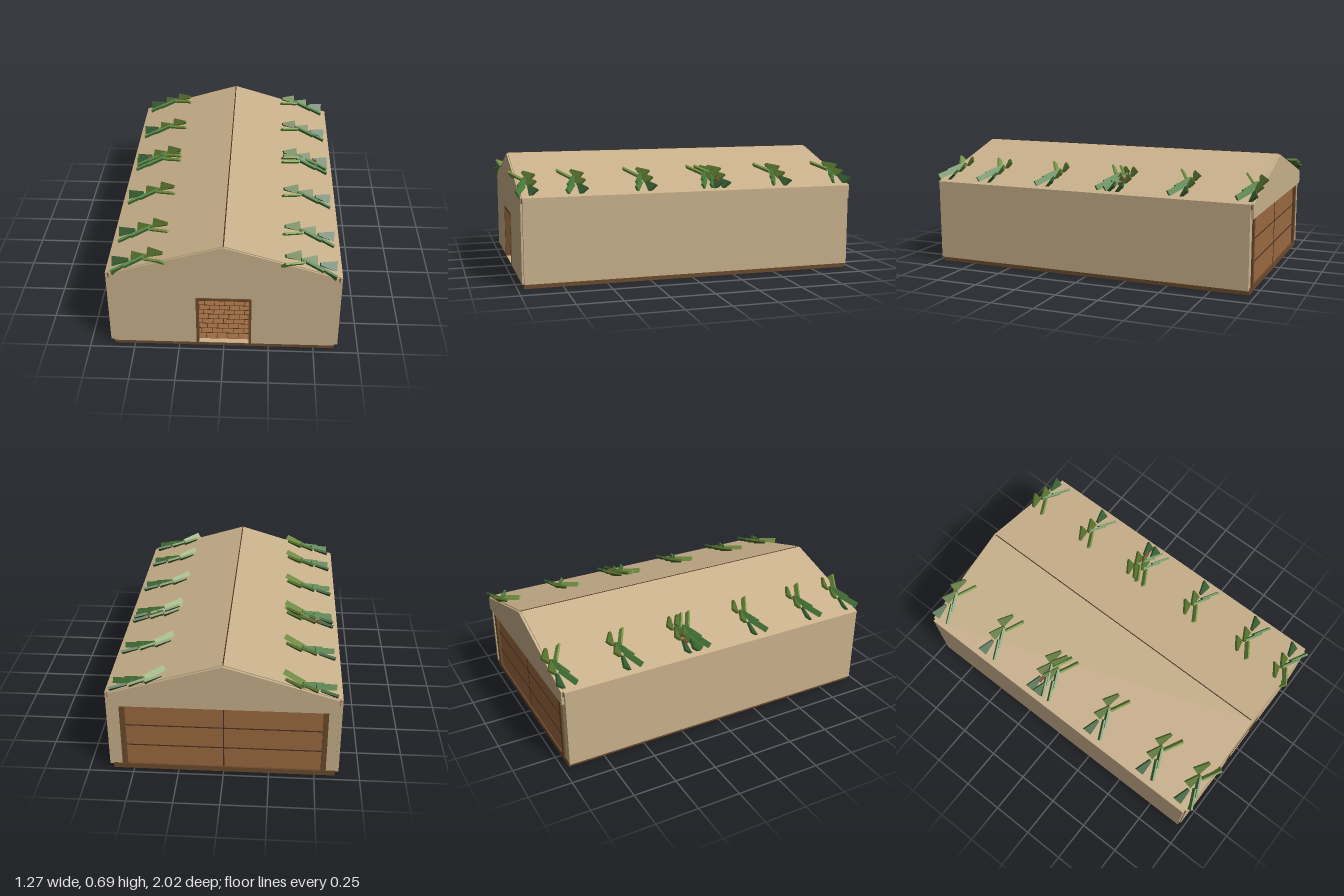
import * as THREE from 'three';
import { mergeGeometries } from 'three/addons/utils/BufferGeometryUtils.js';

const mat = (name, color) => {
  const m = new THREE.MeshStandardMaterial({ color });
  m.name = name;
  return m;
};

export function createModel() {
  const root = new THREE.Group();
  root.name = 'hall';

  const sand = mat('sandstone', 0xc9b18b);
  const brown = mat('dark timber', 0x6b4a2c);
  const wood = mat('warm wood', 0x9c6a40);
  const seam = mat('seam', 0x4a3020);
  const dark = mat('dark leaf', 0x365c30);
  const mid = mat('mid leaf', 0x4a7d3c);
  const light = mat('light leaf', 0x7a9a46);
  const olive = mat('olive leaf', 0x55702c);
  const red = mat('blossom', 0x8a4a34);

  const add = (name, geo, m, parent = root) => {
    const mesh = new THREE.Mesh(geo, m);
    mesh.name = name;
    parent.add(mesh);
    return mesh;
  };
  // Box given by its two opposite corners
  const span = (x0, x1, y0, y1, z0, z1) =>
    new THREE.BoxGeometry(x1 - x0, y1 - y0, z1 - z0)
      .translate((x0 + x1) / 2, (y0 + y1) / 2, (z0 + z1) / 2);
  const outline = (pts) => new THREE.Shape(pts.map(([x, y]) => new THREE.Vector2(x, y)));
  const slab = (shape, z0, z1) =>
    new THREE.ExtrudeGeometry(shape, { depth: z1 - z0, bevelEnabled: false }).translate(0, 0, z0);

  // Plinth and tiled floor
  add('plinth', span(-0.615, 0.615, 0, 0.03, -0.965, 0.965), brown);
  add('floorTiles', span(-0.61, 0.61, 0.03, 0.033, -0.945, 0.945), wood);
  const joints = [];
  for (let i = 0; i < 47; i++) {
    const z = -0.94 + i * 0.04;
    joints.push(span(-0.61, 0.61, 0.033, 0.034, z - 0.002, z + 0.002));
    for (let x = -0.58 + (i % 2) * 0.03; x < 0.6; x += 0.06)
      joints.push(span(x - 0.002, x + 0.002, 0.033, 0.034, z, z + 0.04));
  }
  add('floorJoints', mergeGeometries(joints), seam);

  // Side walls and eaves beams
  for (const s of [-1, 1]) {
    const a = Math.min(s * 0.615, s * 0.635), b = Math.max(s * 0.615, s * 0.635);
    add('sideWall', span(a, b, 0.028, 0.5, -0.965, 0.965), sand);
    const c = Math.min(s * 0.614, s * 0.622), d = Math.max(s * 0.614, s * 0.622);
    add('eavesBeam', span(c, d, 0.47, 0.497, -0.972, 0.972), brown);
  }

  // Front gable with doorway
  const front = outline([[-0.615, 0.028], [0.615, 0.028], [0.615, 0.5], [0, 0.684], [-0.615, 0.5]]);
  front.holes.push(new THREE.Path([
    [-0.14, 0.031], [-0.14, 0.335], [0.14, 0.335], [0.14, 0.031],
  ].map(([x, y]) => new THREE.Vector2(x, y))));
  add('frontWall', slab(front, 0.945, 0.975), sand);
  const frame = outline([[-0.152, 0.028], [-0.138, 0.028], [-0.138, 0.333], [0.138, 0.333],
    [0.138, 0.028], [0.152, 0.028], [0.152, 0.347], [-0.152, 0.347]]);
  add('doorFrame', slab(frame, 0.94, 0.98), brown);

  // Back gable, jambs and panelled gate
  add('backGable', slab(outline([[-0.617, 0.42], [0.617, 0.42], [0.617, 0.5], [0, 0.684], [-0.617, 0.5]]),
    -0.98, -0.955), sand);
  for (const s of [-1, 1]) {
    add('backJamb', new THREE.BoxGeometry(0.07, 0.4, 0.02), sand).position.set(s * 0.582, 0.225, -0.95);
    add('gatePost', new THREE.BoxGeometry(0.028, 0.39, 0.035), brown).position.set(s * 0.55, 0.225, -0.953);
  }
  add('gate', span(-0.55, 0.55, 0.03, 0.425, -0.955, -0.94), wood);
  for (const y of [0.155, 0.285])
    add('gateSeam', span(-0.54, 0.54, y - 0.003, y + 0.003, -0.957, -0.938), seam);
  add('gateCentreSeam', span(-0.003, 0.003, 0.03, 0.42, -0.957, -0.938), seam);

  // Pitched roof with a fine ridge line
  add('roof', slab(outline([[0.635, 0.5], [0, 0.69], [-0.635, 0.5], [-0.635, 0.488], [0, 0.676], [0.635, 0.488]]),
    -0.967, 0.967), sand);
  add('ridgeLine', span(-0.003, 0.003, 0.684, 0.6905, -0.967, 0.967), seam);

  // Foliage breaking through the roof slope
  const blade = new THREE.BoxGeometry(0.125, 0.012, 0.05);
  const fan = new THREE.ExtrudeGeometry(
    outline([[-0.05, -0.008], [0.045, -0.03], [0.045, 0.03], [-0.05, 0.008]]),
    { depth: 0.014, bevelEnabled: false }).translate(0, 0, -0.007).rotateX(-Math.PI / 2);
  // geometry, colour, x, y, z, roll, yaw
  const leaves = [
    [blade, light, 0.368, 0.582, 0.03, -1.0, 0.5],
    [blade, mid, 0.475, 0.552, 0.005, -1.0, -0.42],
    [blade, mid, 0.545, 0.53, 0.025, -1.0, -0.42],
    [fan, olive, 0.372, 0.592, -0.032, 0.7, 0.4],
    [fan, olive, 0.458, 0.566, -0.03, 0.7, 0.3],
    [fan, dark, 0.562, 0.535, -0.03, 0.7, 0.15],
  ];
  const cluster = (z) => {
    const g = new THREE.Group();
    g.name = 'leafCluster';
    for (const [geo, m, x, y, dz, roll, yaw] of leaves) {
      const leaf = add('leaf', geo, m, g);
      leaf.position.set(x, y, dz);
      leaf.rotation.set(roll, yaw, -0.29, 'ZYX');
    }
    g.position.z = z;
    return g;
  };
  const right = new THREE.Group(), left = new THREE.Group();
  right.name = 'rightFoliage';
  left.name = 'leftFoliage';
  for (const z of [-0.935, -0.55, -0.17, -0.12, 0.27, 0.66, 0.935]) {
    left.add(cluster(z));
    right.add(cluster(z));
  }
  for (const side of [left, right])
    for (const x of [0.42, 0.47, 0.52])
      add('blossom', new THREE.BoxGeometry(0.04, 0.015, 0.015), red, side).position.set(x, 0.7 - 0.3 * x, -0.18);
  right.scale.x = -1;
  root.add(left, right);

  // Planters inside the entrance
  for (const s of [-1, 1]) {
    const p = new THREE.Group();
    p.name = 'planter';
    add('pot', new THREE.CylinderGeometry(0.075, 0.055, 0.08, 6), brown, p).position.y = 0.07;
    add('potRim', new THREE.CylinderGeometry(0.08, 0.08, 0.015, 6), wood, p).position.y = 0.115;
    const bush = add('bush', new THREE.IcosahedronGeometry(0.065, 0), dark, p);
    bush.position.y = 0.13;
    bush.scale.y = 0.5;
    p.position.set(s * 0.28, 0, 0.64);
    root.add(p);
  }
  add('floorLeaf', new THREE.BoxGeometry(0.05, 0.01, 0.03), mid).position.set(-0.16, 0.04, 0.6);

  // Statue, hanging plaque and cross beam on the centre line
  add('crossBeam', span(-0.6, 0.6, 0.325, 0.34, -0.3, -0.27), sand);
  add('statueBase', span(-0.03, 0.03, 0.03, 0.06, -0.33, -0.27), brown);
  add('statueBody', span(-0.016, 0.016, 0.033, 0.145, -0.32, -0.28), sand);
  add('statueChest', span(-0.022, 0.022, 0.07, 0.11, -0.325, -0.265), brown);
  for (const s of [-1, 1]) {
    add('statueArm', new THREE.BoxGeometry(0.016, 0.04, 0.03), sand).position.set(s * 0.03, 0.09, -0.3);
    add('plaqueHanger', new THREE.BoxGeometry(0.01, 0.05, 0.01), brown).position.set(s * 0.023, 0.305, -0.285);
  }
  add('plaque', span(-0.06, 0.06, 0.16, 0.292, -0.295, -0.275), brown);
  add('plaqueInset', span(-0.024, 0.024, 0.19, 0.235, -0.275, -0.268), wood);
  add('plaqueCap', span(-0.022, 0.022, 0.235, 0.26, -0.275, -0.268), sand);
  add('plaqueSlot', span(-0.014, 0.014, 0.232, 0.252, -0.268, -0.265), brown);

  return root;
}
